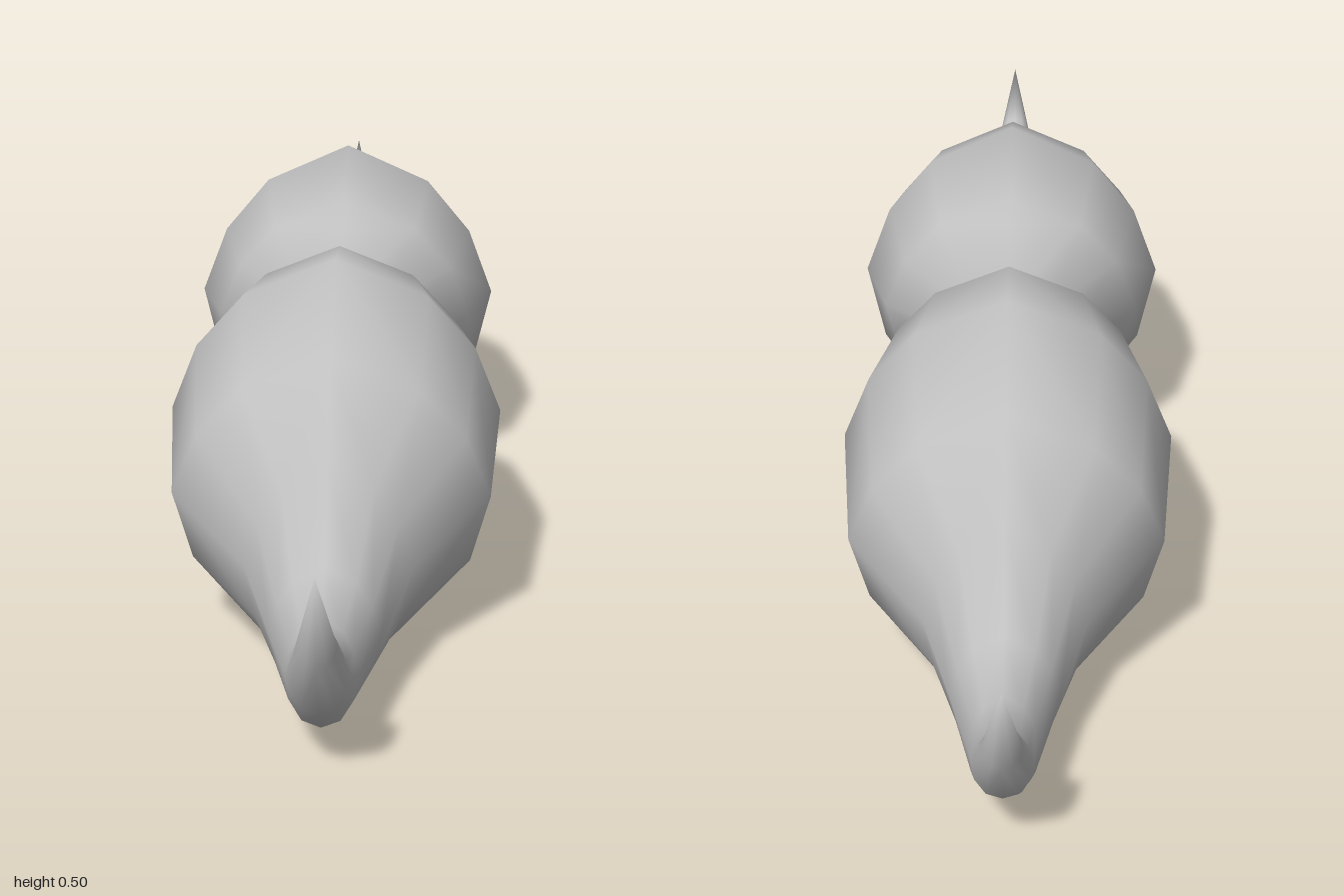
import * as THREE from 'three';
import { mergeVertices } from 'three/addons/utils/BufferGeometryUtils.js';

// Half cross-section, top to bottom: [fraction of half width, fraction of half height]
const half = [[0, 1], [0.55, 0.76], [0.84, 0.42], [1, 0], [0.88, -0.48], [0.52, -0.87], [0, -1]];
const section = [...half, ...half.slice(1, -1).reverse().map(([x, y]) => [-x, y])];

// Stations from the waist to one tip: [topZ, topY, bottomZ, bottomY, halfWidth, flatTop]
const stations = [
  [0, 0.345, 0, 0.165, 0.10],
  [0.12, 0.465, 0.11, 0.09, 0.20, true], // foot of the small step
  [0.12, 0.465, 0.11, 0.09, 0.20],       // lip of the small step
  [0.31, 0.505, 0.24, 0.025, 0.24],
  [0.51, 0.43, 0.46, 0.004, 0.222],
  [0.60, 0.315, 0.59, 0, 0.115],
  [0.71, 0.21, 0.70, 0.015, 0.075],
  [0.80, 0.18, 0.84, 0.045, 0.048],
  [0.89, 0.20, 0.91, 0.10, 0.041],
  [0.95, 0.25, 0.98, 0.20, 0.025],
  [1, 0.33, 1, 0.33, 0],
];

function ring([tz, ty, bz, by, w, flatTop], side) {
  return section.map(([px, py], j) => {
    const v = flatTop && j === 0 ? section[1][1] : py;
    const t = (1 - v) / 2;
    return [px * w, ty + (by - ty) * t, side * (tz + (bz - tz) * t)];
  });
}

export function createModel() {
  const group = new THREE.Group();
  group.name = 'moustache';
  const grey = new THREE.MeshStandardMaterial({ color: 0xc0c0c0 });
  grey.name = 'light grey';

  // Loft from the back tip through the waist to the front tip
  const rings = [
    ...stations.slice(1).reverse().map((s) => ring(s, -1)),
    ...stations.map((s) => ring(s, 1)),
  ];
  const n = section.length;
  const index = [];
  for (let i = 0; i < rings.length - 1; i++) {
    for (let j = 0; j < n; j++) {
      const k = (j + 1) % n;
      const a = i * n + j, b = i * n + k, c = a + n, d = b + n;
      // Mirror the diagonals so both sides match
      if ((i < (rings.length - 1) / 2) === (j < n / 2)) index.push(a, c, b, b, c, d);
      else index.push(a, c, d, a, d, b);
    }
  }
  let geometry = new THREE.BufferGeometry();
  geometry.setAttribute('position', new THREE.Float32BufferAttribute(rings.flat(2), 3));
  geometry.setIndex(index);
  geometry = mergeVertices(geometry, 1e-4);
  geometry.computeVertexNormals();

  const hair = new THREE.Mesh(geometry, grey);
  hair.name = 'curledHair';
  group.add(hair);
  return group;
}
